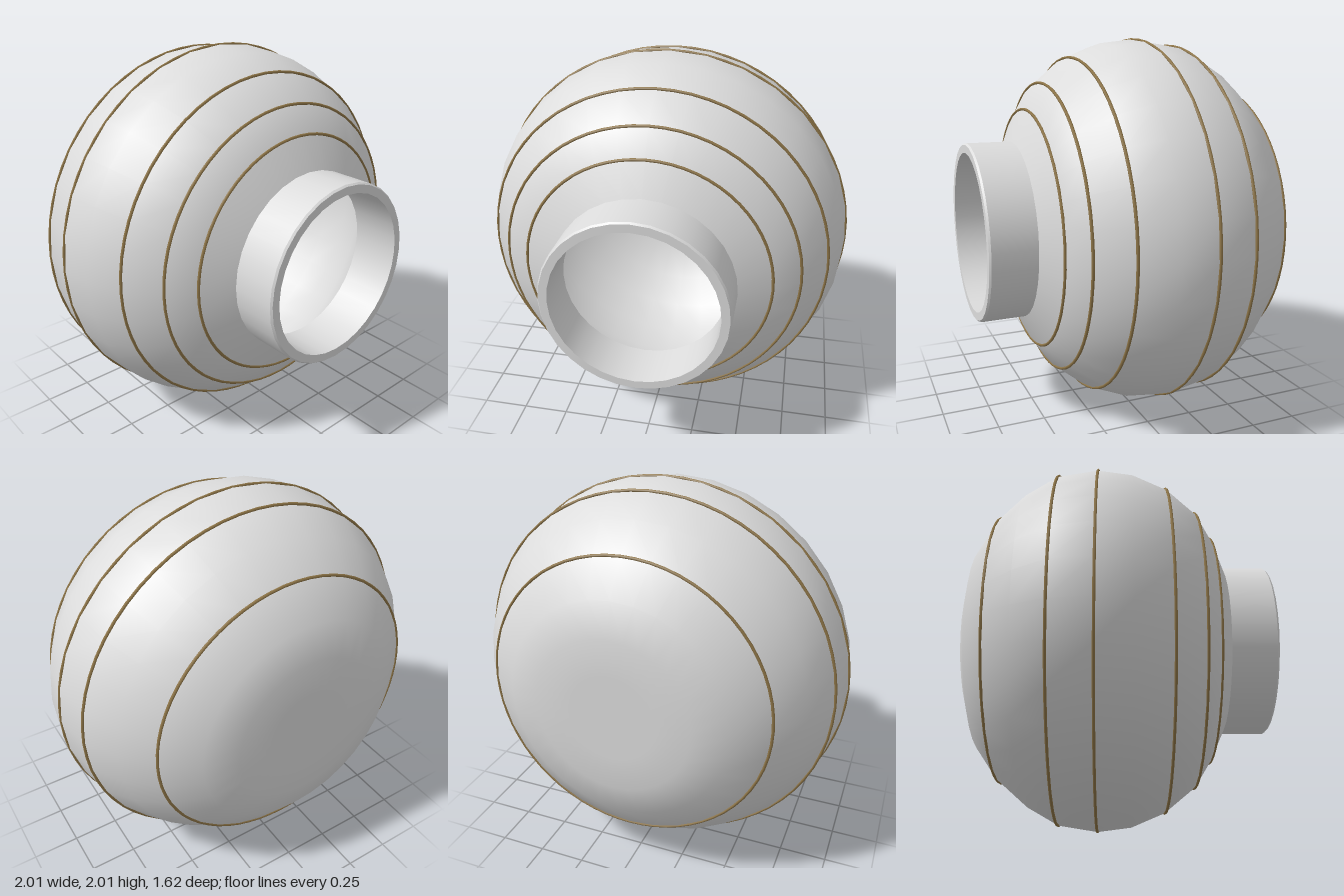
import * as THREE from 'three';

export function createModel() {
  const model = new THREE.Group();
  const glass = new THREE.MeshStandardMaterial({ color: 0xdcdcdc });
  glass.name = 'pale grey glass';
  const gold = new THREE.MeshStandardMaterial({ color: 0x8f7648 });
  gold.name = 'antique gold';

  const add = (name, geometry, material) => {
    const mesh = new THREE.Mesh(geometry, material);
    mesh.name = name;
    model.add(mesh);
    return mesh;
  };

  // Turned part: [radius, z] points revolved around the z axis
  const turned = (name, profile) => {
    const points = profile.map(([r, z]) => new THREE.Vector2(r, z));
    const geometry = new THREE.LatheGeometry(points, 32);
    geometry.rotateX(Math.PI / 2);
    return add(name, geometry, glass);
  };

  // Globe: flattened back, widest just behind the middle, open at the neck
  const globe = [
    [0, -0.81], [0.22, -0.81], [0.4, -0.81], [0.57, -0.76], [0.74, -0.64],
    [0.87, -0.49], [0.965, -0.32], [0.998, -0.11], [0.975, 0.07],
    [0.9, 0.25], [0.77, 0.41], [0.635, 0.495], [0.47, 0.57],
  ];
  turned('globe', globe);

  // Hollow inside of the globe, facing inward
  turned('globeInside', [
    [0.42, 0.56], [0.6, 0.45], [0.73, 0.37], [0.86, 0.22], [0.93, 0.06],
    [0.95, -0.11], [0.92, -0.3], [0.83, -0.46], [0.7, -0.6],
    [0.54, -0.71], [0.38, -0.76], [0.2, -0.76], [0, -0.76],
  ]);

  // Neck with a thin bevelled rim
  turned('neck', [[0.47, 0.56], [0.47, 0.8]]);
  turned('neckBevel', [[0.47, 0.8], [0.462, 0.81]]);
  turned('neckRim', [[0.462, 0.81], [0.42, 0.81]]);
  turned('neckInside', [[0.42, 0.81], [0.42, 0.56]]);

  // Thin gold bands around the globe
  const bands = [
    [0.635, 0.495], [0.77, 0.41], [0.9, 0.25],
    [0.996, -0.11], [0.965, -0.32], [0.74, -0.64],
  ];
  for (const [radius, z] of bands) {
    add('goldBand', new THREE.TorusGeometry(radius, 0.008, 6, 64), gold).position.z = z;
  }

  model.position.y = 1;
  const root = new THREE.Group();
  root.name = 'globeShade';
  root.add(model);
  return root;
}
